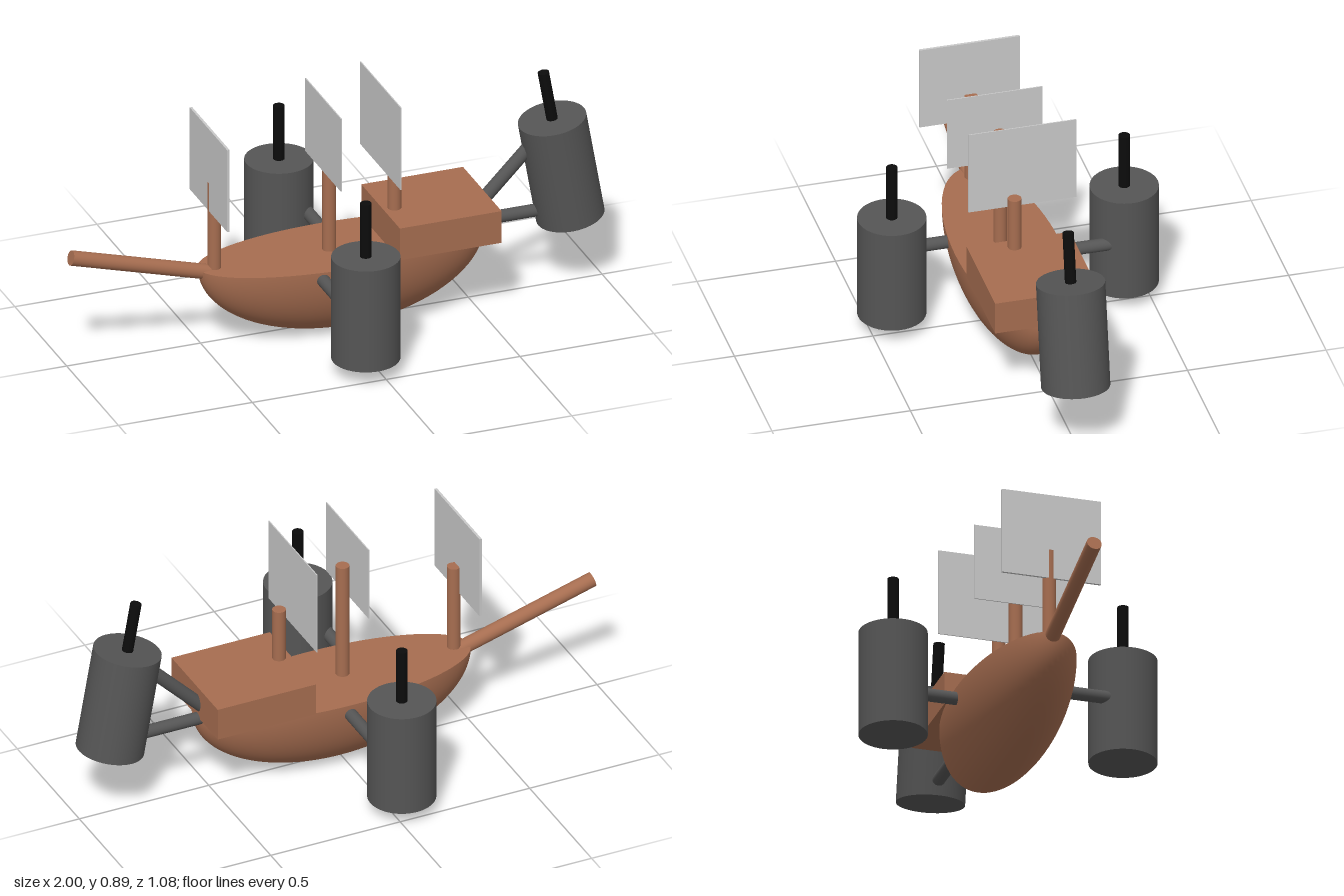
import * as THREE from 'three';

const paint = (name, color) => {
  const m = new THREE.MeshStandardMaterial({ color });
  m.name = name;
  return m;
};

export function createModel() {
  const wood = paint('brown wood', 0xa66d50);
  const metal = paint('dark grey metal', 0x555555);
  const soot = paint('black pipe', 0x0c0c0c);
  const cloth = paint('light grey cloth', 0xc9c9c9);

  const model = new THREE.Group();
  model.name = 'airship';

  const add = (name, geometry, material, x, y, z, parent = model) => {
    const mesh = new THREE.Mesh(geometry, material);
    mesh.name = name;
    mesh.position.set(x, y, z);
    parent.add(mesh);
    return mesh;
  };

  // Round bar between two points
  const bar = (name, material, r, from, to) => {
    const a = new THREE.Vector3(...from), b = new THREE.Vector3(...to);
    const dir = b.clone().sub(a);
    const mid = a.clone().add(b).multiplyScalar(0.5);
    const mesh = add(name, new THREE.CylinderGeometry(r, r, dir.length(), 32), material, mid.x, mid.y, mid.z);
    mesh.quaternion.setFromUnitVectors(new THREE.Vector3(0, 1, 0), dir.normalize());
  };

  // Hull: lower half of an ellipsoid, closed by a flat deck
  const hull = new THREE.Group();
  hull.name = 'hull';
  hull.position.set(0.0175, 0.298, 0.02);
  hull.scale.set(0.532, 0.298, 0.188);
  model.add(hull);
  add('hullShell', new THREE.SphereGeometry(1, 64, 24, 0, Math.PI * 2, Math.PI / 2, Math.PI / 2), wood, 0, 0, 0, hull);
  add('deck', new THREE.CircleGeometry(1, 64).rotateX(-Math.PI / 2), wood, 0, 0, 0, hull);

  // Stern cabin and bowsprit
  add('cabin', new THREE.BoxGeometry(0.38, 0.123, 0.373), wood, 0.355, 0.36, 0.02);
  bar('bowsprit', wood, 0.027, [-0.992, 0.428, 0.02], [-0.47, 0.28, 0.02]);

  // Masts: x, top, z
  for (const [x, top, z] of [[-0.457, 0.63, 0.022], [-0.032, 0.745, 0.032], [0.207, 0.622, 0.045]])
    bar('mast', wood, 0.024, [x, 0.27, z], [x, top, z]);

  // Sails: x, thickness, bottom, top, back z, front z
  for (const [x, t, y0, y1, z0, z1] of [
    [-0.475, 0.009, 0.522, 0.84, -0.157, 0.205],
    [-0.058, 0.004, 0.61, 0.893, -0.127, 0.217],
    [0.171, 0.004, 0.568, 0.888, -0.187, 0.202],
  ]) add('sail', new THREE.BoxGeometry(t, y1 - y0, z1 - z0), cloth, x, (y0 + y1) / 2, (z0 + z1) / 2);

  // Engines with exhaust pipes: name, centre, tilt, pipe height above the drum
  for (const [name, x, y, z, tilt, h] of [
    ['leftEngine', -0.045, 0.254, 0.42, 0, 0.207],
    ['rightEngine', -0.045, 0.247, -0.419, 0, 0.207],
    ['rearEngine', 0.845, 0.449, 0.006, Math.PI / 18, 0.188],
  ]) {
    const engine = new THREE.Group();
    engine.name = name;
    engine.position.set(x, y, z);
    engine.rotation.z = tilt;
    model.add(engine);
    add('drum', new THREE.CylinderGeometry(0.121, 0.121, 0.392, 48), metal, 0, 0, 0, engine);
    add('exhaustPipe', new THREE.CylinderGeometry(0.02, 0.02, h, 24), soot, 0, 0.196 + h / 2, 0, engine);
  }

  // Struts joining the engines to the hull
  bar('leftStrut', metal, 0.023, [-0.118, 0.267, 0.1], [-0.118, 0.267, 0.4]);
  bar('rightStrut', metal, 0.023, [0.03, 0.259, -0.1], [0.03, 0.259, -0.4]);
  bar('rearStrut', metal, 0.023, [0.48, 0.292, -0.003], [0.8, 0.292, -0.003]);
  bar('rearBrace', metal, 0.024, [0.5, 0.312, -0.003], [0.76, 0.575, -0.003]);

  return model;
}
